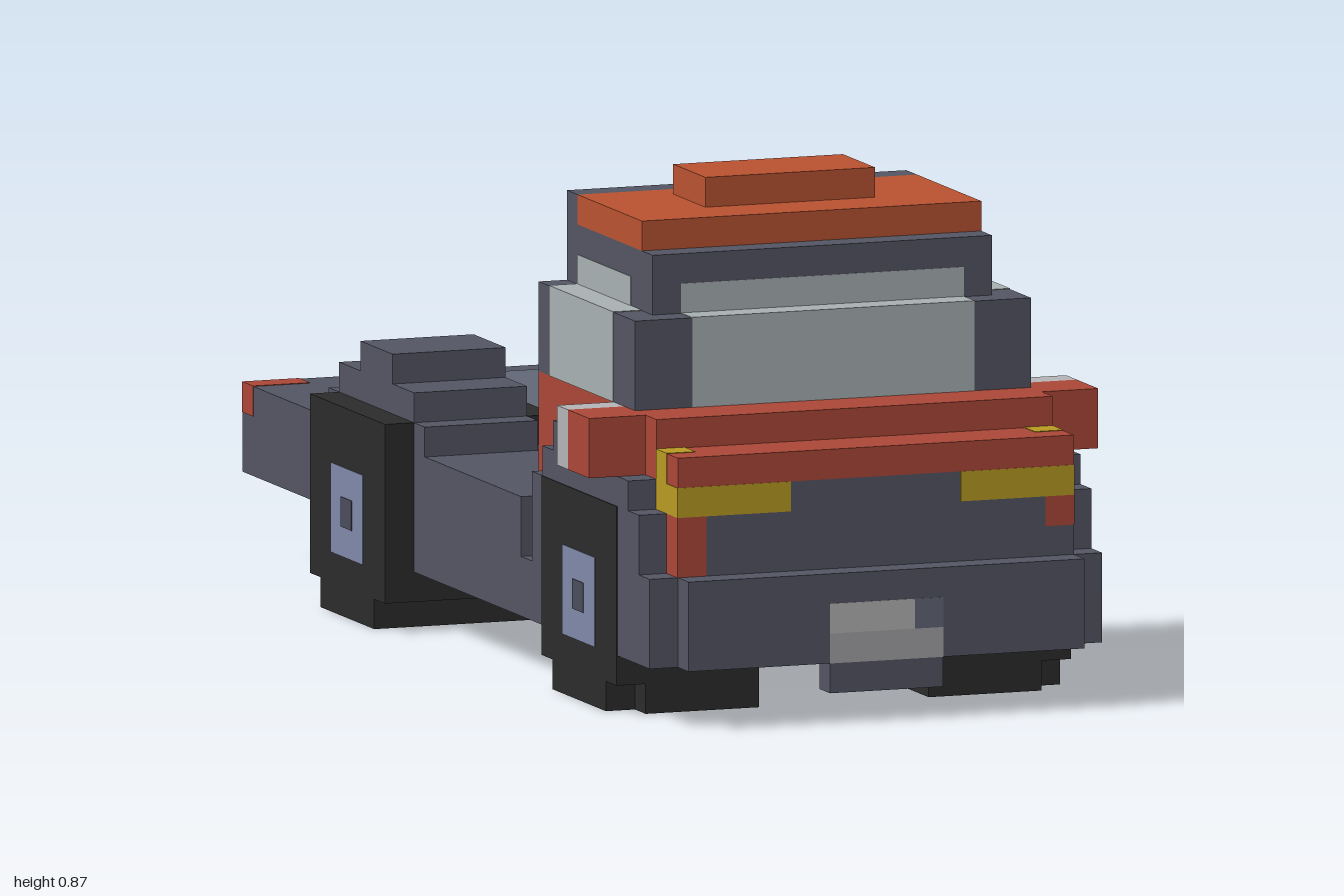
import * as THREE from 'three';

const U = 2 / 39; // edge of one block
const E = 0.06;   // how far a coloured inlay stands proud, in blocks

const mats = {};
for (const [name, color] of Object.entries({
  body: 0x545563, bed: 0x626777, tyre: 0x2b2b2c, glass: 0xa8b0b2, roof: 0xb85230, red: 0xab4737,
  yellow: 0xb89a22, plate: 0xa3a3a8, hub: 0x8088a8, hubDark: 0x4a4d5c, chrome: 0xb4b4b6,
})) mats[name] = new THREE.MeshStandardMaterial({ color, flatShading: true });

export function createModel() {
  const truck = new THREE.Group();
  truck.name = 'flatbedTruck';

  // A box from its extents in block units
  const block = (name, mat, x0, x1, y0, y1, z0, z1) => {
    const geo = new THREE.BoxGeometry((x1 - x0) * U, (y1 - y0) * U, (z1 - z0) * U);
    const mesh = new THREE.Mesh(geo, mats[mat]);
    mesh.name = name;
    mesh.position.set((x0 + x1) / 2 * U, (y0 + y1) / 2 * U, (z0 + z1) / 2 * U);
    truck.add(mesh);
  };
  // The same box on the left and the right
  const pair = (name, mat, x0, x1, ...rest) => {
    block(name + 'Left', mat, x0, x1, ...rest);
    block(name + 'Right', mat, -x1, -x0, ...rest);
  };

  // Chassis, with a notch in each side behind the cab door
  block('chassisCore', 'body', -7, 7, 2, 6, -11.5, 17.5);
  block('bedTail', 'body', -8, 8, 3, 6, -19.5, -11.5);
  pair('chassisSide', 'body', 7, 8, 2, 6, -11.5, 6.5);
  pair('chassisSill', 'body', 7, 8, 2, 4, 6.5, 7.5);
  pair('chassisFrontSide', 'body', 7, 8, 2, 6, 7.5, 17.5);
  block('chassisNose', 'body', -8, 8, 2, 5, 17.5, 18.5);
  block('bedPanel', 'bed', -4, 4, 5.5, 6 + E / 3, -18.5, 5.5);

  // Tail lights and rear plate
  pair('tailLight', 'red', 6, 8 + E / 3, 5, 6 + E / 3, -19.5 - E / 3, -18.5);
  block('rearPlate', 'plate', -2, 2, 2, 5, -19.5 - E / 3, -18.5);

  // Stepped fenders
  for (const [y, z0, z1] of [[6, -11.5, -2.5], [7, -10.5, -3.5], [8, -8.5, -5.5]])
    pair('rearFender', 'body', 4, 8, y, y + 1, z0, z1);
  for (const [y, z0, z1] of [[6, 7.5, 17.5], [7, 8.5, 16.5], [8, 9.5, 12.5]])
    pair('frontFender', 'body', 4, 8, y, y + 1, z0, z1);

  // Wheels; the right rear one stands one block further out
  const wheel = (name, side, zc, out) => {
    const across = (a, b) => (side > 0 ? [a, b] : [-b, -a]);
    block(name + 'Tyre', 'tyre', ...across(3, out + E / 2), 1, 7, zc - 3.5, zc + 3.5);
    block(name + 'Tread', 'tyre', ...across(3, out + E / 2), 0, 1, zc - 2.5, zc + 2.5);
    block(name + 'Hub', 'hub', ...across(out - 1, out + E), 2, 5, zc - 1.5, zc + 1.5);
    block(name + 'HubCentre', 'hubDark', ...across(out - 1, out + E * 1.5), 3, 4, zc - 0.5, zc + 0.5);
  };
  wheel('frontLeftWheel', 1, 12, 8);
  wheel('frontRightWheel', -1, 12, 8);
  wheel('rearLeftWheel', 1, -7, 8);
  wheel('rearRightWheel', -1, -7, 9);
  pair('frontTyreInnerTread', 'tyre', 3, 7, 0, 1, 14.5, 15.5);

  // Bumper and front plate
  block('bumper', 'body', -7, 7, 2, 5, 18.5, 19.5);
  block('plateBottom', 'body', -2, 2, 1, 2, 18.5, 19.5);
  block('plateLower', 'plate', -2, 2, 2, 3, 19, 19.5 + E / 3);
  block('plateUpper', 'chrome', -2, 1, 3, 4, 19, 19.5 + E / 3);
  block('plateCorner', 'bed', 1, 2, 3, 4, 19, 19.5 + E / 3);

  // Grille, headlights and indicators
  block('grille', 'body', -7, 7, 5, 8, 16.5, 18.5);
  pair('headlight', 'yellow', 3, 7 + E / 3, 7, 8, 16.5, 18.5 + E / 3);
  pair('sideLamp', 'yellow', 6, 7 + E / 3, 8, 9 + E / 3, 16.5, 17.5);
  block('indicatorLeft', 'red', 6, 7 + E / 3, 6, 7, 16.5, 18.5 + E / 3);
  block('indicatorRight', 'red', -7 - E / 3, -6, 5, 7, 16.5, 18.5 + E / 3);

  // Hood, lower cab and doors
  block('hoodFront', 'red', -7, 7, 8, 9, 16.5, 18.5);
  block('hood', 'red', -7, 7, 8, 10, 5.5, 16.5);
  block('lowerCab', 'red', -7, 7, 6, 8, 5.5, 16.5);
  pair('doorFoot', 'red', 6, 7 + E / 3, 4, 6, 6.5, 7.5);

  // Mirrors
  pair('mirror', 'red', 7, 9, 8, 10, 13.5, 15.5);
  pair('mirrorGlass', 'chrome', 7, 9, 8, 10, 12.5, 13.5);

  // Upper cab with windows
  block('cabMiddle', 'body', -7, 7, 10, 13, 5.5, 14.5);
  block('cabTop', 'body', -6, 6, 13, 15, 5.5, 13.5);
  block('windshieldLower', 'glass', -5, 5, 10, 13 + E / 3, 13.5, 14.5 + E / 3);
  block('windshieldUpper', 'glass', -5, 5, 13, 14, 12.5, 13.5 + E / 3);
  pair('sideWindowLower', 'glass', 6, 7 + E / 3, 10, 13 + E / 3, 6.5, 12.5);
  pair('sideWindowUpper', 'glass', 5, 6 + E / 3, 13, 14, 6.5, 11.5);
  block('rearWindow', 'glass', -5, 5, 11, 13, 5.5 - E / 3, 6.5);

  // Roof
  block('roof', 'roof', -6, 6, 15, 16, 6.5, 12.5);
  block('roofRearEdge', 'body', -6, 6, 15, 16, 5.5, 6.5);
  block('roofHatch', 'roof', -3, 3, 16, 17, 7.5, 10.5);

  return truck;
}
